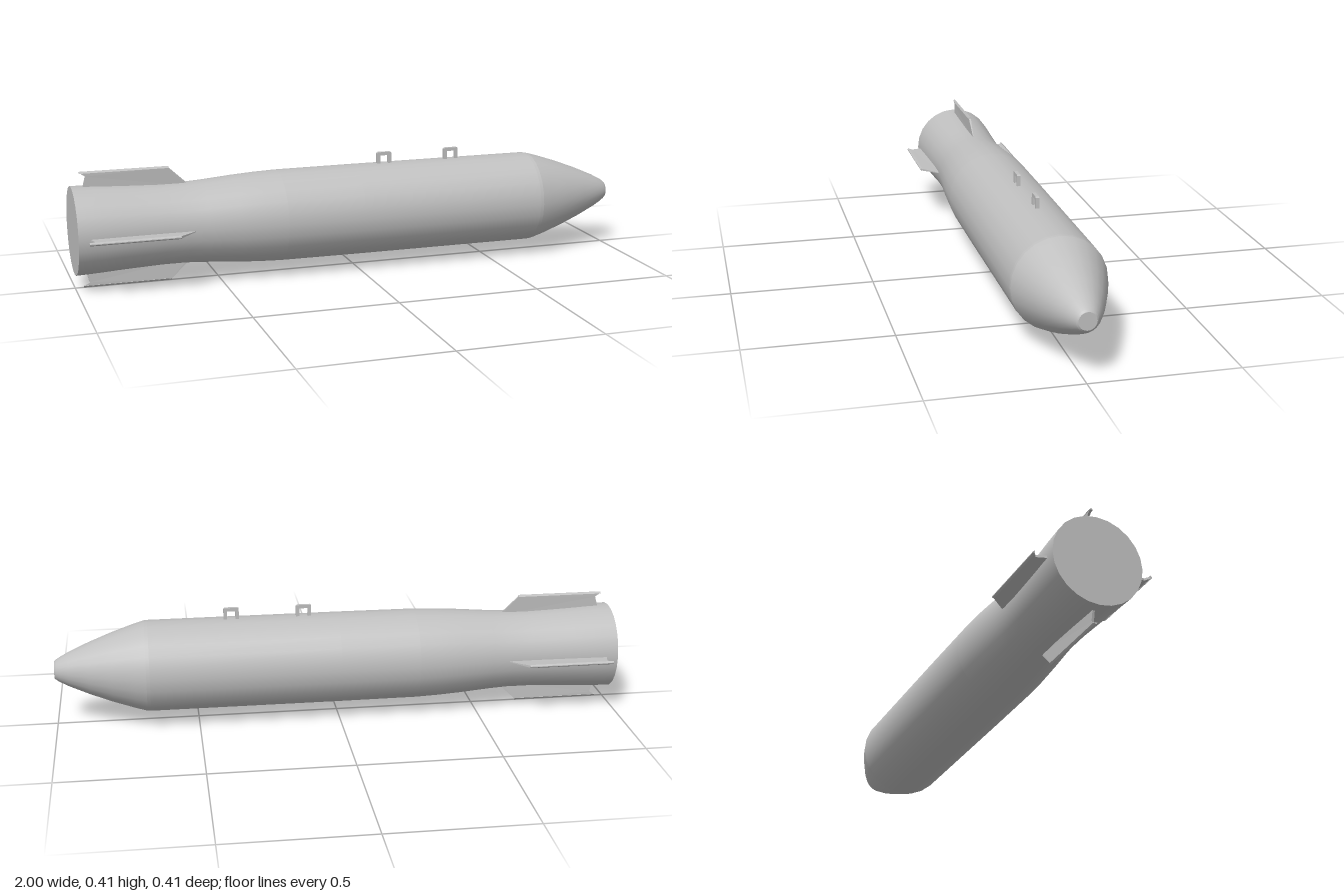
import * as THREE from 'three';

const AXIS_Y = 0.203;
const SIDES = 24;

export function createModel() {
  const model = new THREE.Group();
  model.name = 'finnedStore';
  const grey = new THREE.MeshStandardMaterial({ name: 'paleGrey', color: 0xc0c0c0 });

  const add = (parent, name, geometry) => {
    const mesh = new THREE.Mesh(geometry, grey);
    mesh.name = name;
    parent.add(mesh);
    return mesh;
  };

  // Everything round is turned about the long axis, at the height of the hull centre
  const hull = new THREE.Group();
  hull.name = 'hull';
  hull.position.y = AXIS_Y;
  model.add(hull);

  // profile: [x along the axis, radius] from tail to nose
  const turned = (name, profile) => {
    const points = profile.map(([x, r]) => new THREE.Vector2(r, x));
    add(hull, name, new THREE.LatheGeometry(points, SIDES).rotateZ(-Math.PI / 2));
  };

  turned('tailSection', [[-1, 0.153], [-0.92, 0.15], [-0.85, 0.146], [-0.78, 0.143],
    [-0.7, 0.14], [-0.62, 0.14], [-0.55, 0.144], [-0.44, 0.153], [-0.36, 0.158], [-0.28, 0.161]]);
  turned('midSection', [[-0.28, 0.161], [0, 0.162], [0.67, 0.162]]);
  turned('noseRim', [[0.67, 0.162], [0.682, 0.161]]);
  turned('noseCone', [[0.682, 0.161], [0.72, 0.15], [0.8, 0.123], [0.88, 0.092], [0.95, 0.061],
    [0.982, 0.044], [0.994, 0.036]]);
  turned('noseBevel', [[0.994, 0.036], [1, 0.03]]);
  turned('noseTip', [[1, 0.03], [1, 0]]);
  turned('tailCap', [[-1, 0], [-1, 0.153]]);

  // Four tail fins: blade with swept leading edge and a slim rail along the tip
  const bladeShape = new THREE.Shape([[-0.965, 0.13], [-0.95, 0.186], [-0.968, 0.198],
    [-0.665, 0.198], [-0.605, 0.142], [-0.605, 0.13]].map(([x, y]) => new THREE.Vector2(x, y)));
  const bladeGeometry = new THREE.ExtrudeGeometry(bladeShape, { depth: 0.008, bevelEnabled: false });
  bladeGeometry.translate(0, 0, -0.004);
  // thin the blade towards its leading edge
  const pos = bladeGeometry.attributes.position;
  for (let i = 0; i < pos.count; i++) {
    if (pos.getX(i) > -0.62) pos.setZ(i, pos.getZ(i) * 0.3);
  }
  bladeGeometry.computeVertexNormals();

  // rail cross-section is a small wedge with its point outwards
  const railShape = new THREE.Shape([[-0.006, 0.197], [0.006, 0.197], [0.0015, 0.203],
    [-0.0015, 0.203]].map(([z, y]) => new THREE.Vector2(z, y)));
  const railGeometry = new THREE.ExtrudeGeometry(railShape, { depth: 0.305, bevelEnabled: false });
  railGeometry.rotateY(Math.PI / 2).translate(-0.97, 0, 0);

  for (let i = 0; i < 4; i++) {
    const fin = new THREE.Group();
    fin.name = 'tailFin' + (i + 1);
    fin.rotation.x = i * Math.PI / 2;
    add(fin, 'finBlade', bladeGeometry);
    add(fin, 'finTipRail', railGeometry);
    hull.add(fin);
  }

  // Two square suspension lugs on the top
  const lugShape = new THREE.Shape([[-0.027, 0.155], [-0.015, 0.155], [-0.015, 0.19],
    [0.015, 0.19], [0.015, 0.155], [0.027, 0.155], [0.027, 0.198], [0.023, 0.202],
    [-0.023, 0.202], [-0.027, 0.198]].map(([x, y]) => new THREE.Vector2(x, y)));
  const lugGeometry = new THREE.ExtrudeGeometry(lugShape, { depth: 0.012, bevelEnabled: false });
  lugGeometry.translate(0, 0, -0.006);
  add(hull, 'rearLug', lugGeometry).position.x = 0.118;
  add(hull, 'frontLug', lugGeometry).position.x = 0.375;

  return model;
}
